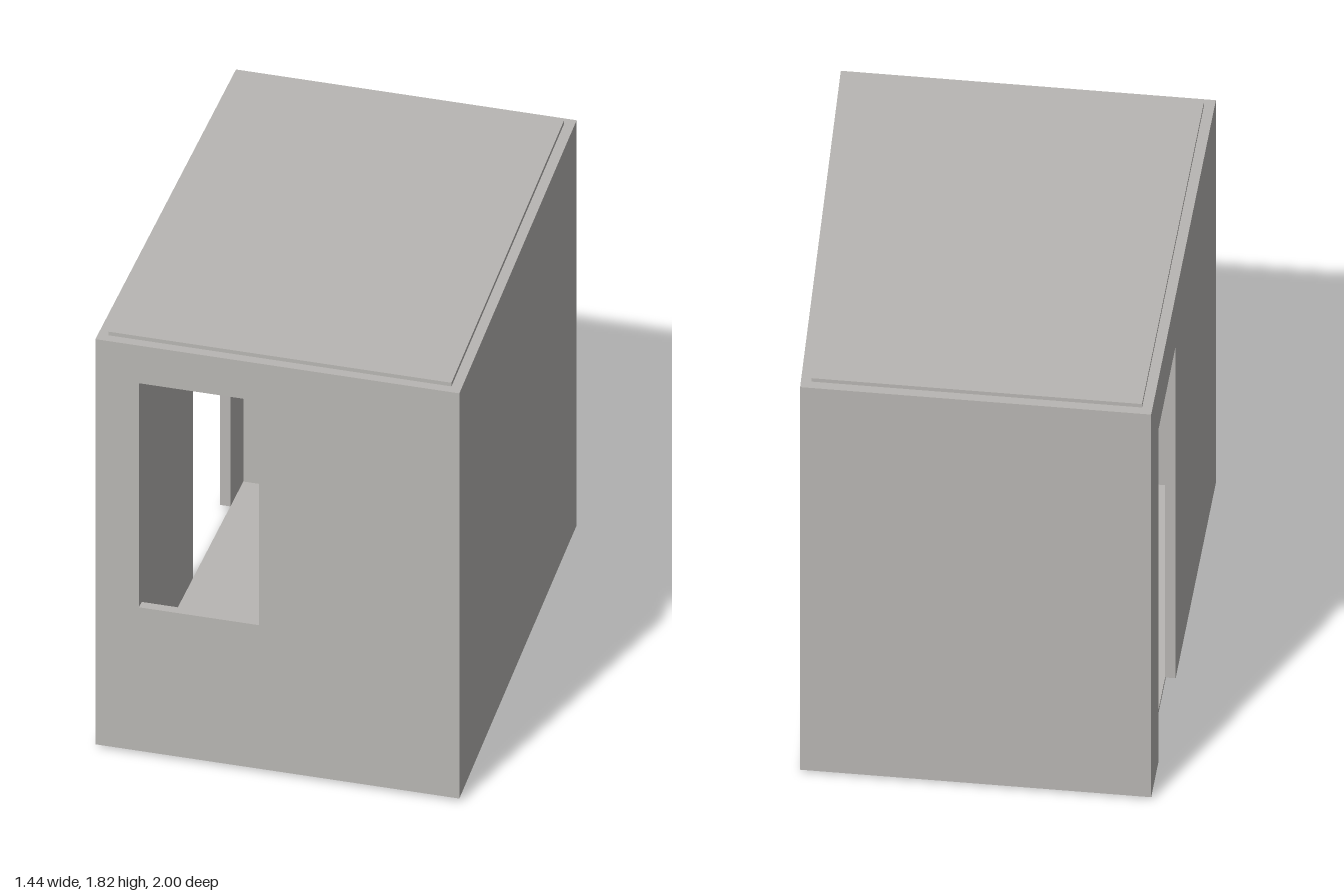
import * as THREE from 'three';

const WALL = 0.04, BASE = 0.016, TOP = 1.806, SLAB = 0.016;

// Plan corners [x, z], running front-left, front-right, back-right, back-left
const OUTER = [[-0.704, 1], [0.718, 1], [0.609, -1], [-0.722, -1]];
const INNER = [[-0.664, 0.96], [0.676, 0.96], [0.571, -0.96], [-0.682, -0.96]];

// Wall between corners i and i + 1, mitred to the inner corners
function wallGeometry(i, openings) {
  const j = (i + 1) % 4;
  const a = new THREE.Vector2(...OUTER[i]);
  const dir = new THREE.Vector2(...OUTER[j]).sub(a);
  const length = dir.length();
  dir.normalize();

  const outline = [[0, BASE]];
  if (openings.door) {
    const [u0, u1, top] = openings.door;
    outline.push([u0, BASE], [u0, top], [u1, top], [u1, BASE]);
  }
  outline.push([length, BASE], [length, TOP], [0, TOP]);
  const shape = new THREE.Shape(outline.map(p => new THREE.Vector2(...p)));
  if (openings.window) {
    const [u0, u1, y0, y1] = openings.window;
    shape.holes.push(new THREE.Path(
      [[u0, y0], [u0, y1], [u1, y1], [u1, y0]].map(p => new THREE.Vector2(...p))));
  }

  const geometry = new THREE.ExtrudeGeometry(shape, { depth: WALL, bevelEnabled: false });
  const pos = geometry.attributes.position;
  for (let k = 0; k < pos.count; k++) {
    const u = pos.getX(k), inset = WALL - pos.getZ(k);
    let x = a.x + dir.x * u + dir.y * inset;
    let z = a.y + dir.y * u - dir.x * inset;
    if (inset > WALL / 2) {
      if (u < 1e-4) [x, z] = INNER[i];
      else if (u > length - 1e-4) [x, z] = INNER[j];
    }
    pos.setXYZ(k, x, pos.getY(k), z);
  }
  geometry.computeVertexNormals();
  return geometry;
}

// Thin slab filling the inner plan outline
function slabGeometry(y) {
  const shape = new THREE.Shape(INNER.map(([x, z]) => new THREE.Vector2(x, -z)));
  return new THREE.ExtrudeGeometry(shape, { depth: SLAB, bevelEnabled: false })
    .rotateX(-Math.PI / 2)
    .translate(0, y, 0);
}

export function createModel() {
  const model = new THREE.Group();
  model.name = 'room';
  const plaster = new THREE.MeshStandardMaterial({ color: 0xb8b6b3 });
  plaster.name = 'warm grey plaster';

  const add = (name, geometry) => {
    const mesh = new THREE.Mesh(geometry, plaster);
    mesh.name = name;
    model.add(mesh);
  };

  // Walls, with a window in the front and a doorway on the -x side
  add('frontWall', wallGeometry(0, { window: [0.17, 0.64, 0.65, 1.64] }));
  add('leftWall', wallGeometry(1, {}));
  add('backWall', wallGeometry(2, {}));
  add('rightWall', wallGeometry(3, { door: [0.225, 0.757, 1.57] }));

  // Floor and roof
  add('floor', slabGeometry(0));
  add('roof', slabGeometry(TOP));
  return model;
}
